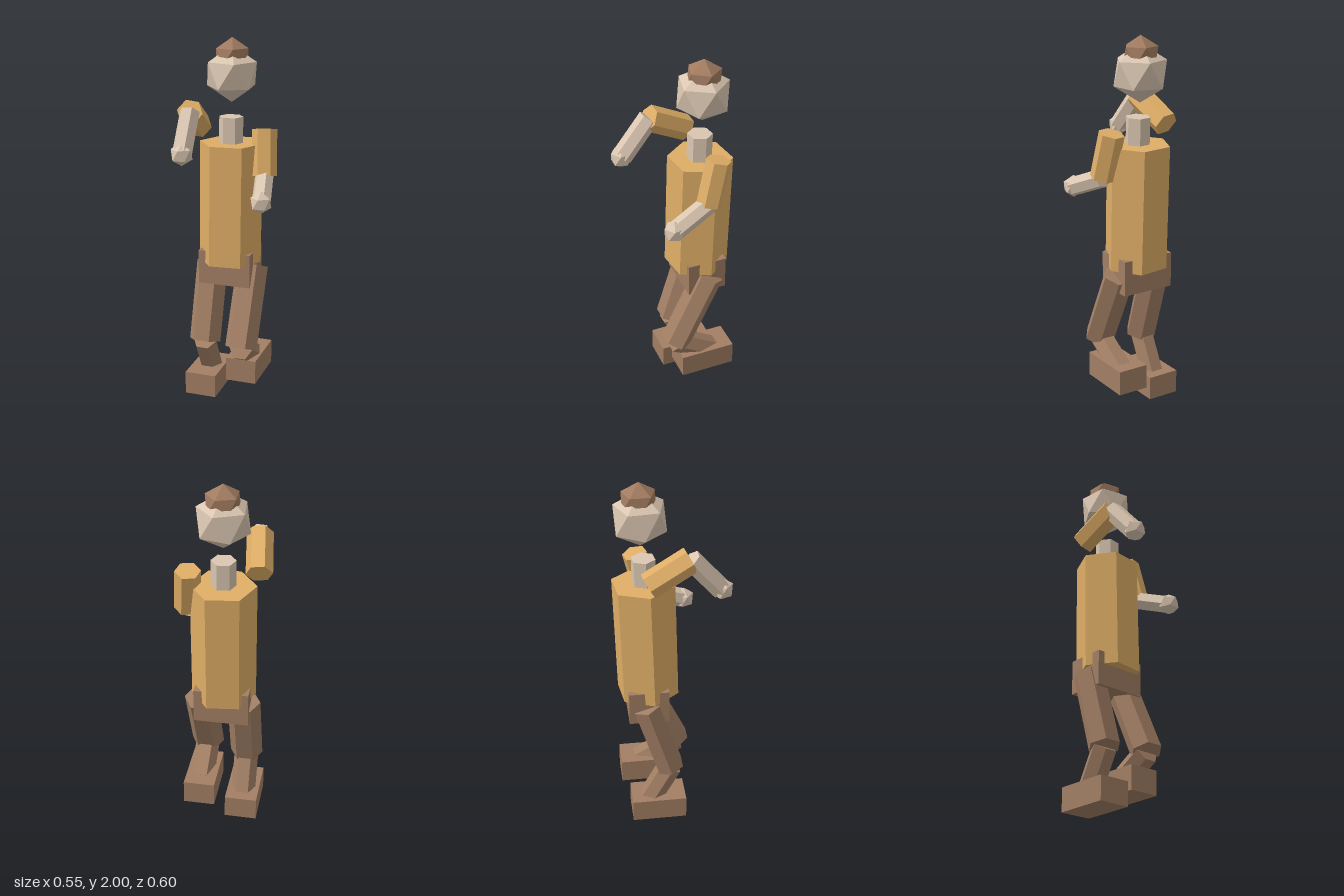
import * as THREE from 'three';

function mat(name, color) {
  const m = new THREE.MeshStandardMaterial({ color, flatShading: true });
  m.name = name;
  return m;
}

export function createModel() {
  const model = new THREE.Group();
  model.name = 'figure';
  const shirt = mat('ochre shirt', 0xdfae66);
  const skin = mat('pale skin', 0xdac6b1);
  const brown = mat('brown trousers', 0xa27f64);
  const hairBrown = mat('brown hair', 0xa17b60);
  const UP = new THREE.Vector3(0, 1, 0);

  function add(name, geometry, material, position) {
    const mesh = new THREE.Mesh(geometry, material);
    mesh.name = name;
    mesh.position.set(...position);
    model.add(mesh);
    return mesh;
  }

  // Six-sided rod from its lower to its upper end; depth flattens it front to back
  function rod(name, material, low, high, radius, spinDeg = 30, depth = 1) {
    const a = new THREE.Vector3(...low), b = new THREE.Vector3(...high);
    const dir = b.clone().sub(a);
    const g = new THREE.CylinderGeometry(radius, radius, dir.length(), 6);
    g.rotateY(THREE.MathUtils.degToRad(spinDeg));
    g.scale(1, 1, depth);
    const mesh = add(name, g, material, a.add(b).multiplyScalar(0.5).toArray());
    mesh.quaternion.setFromUnitVectors(UP, dir.normalize());
  }

  // Icosahedron standing on a corner
  function gem(name, material, center, radius, spin) {
    const g = new THREE.IcosahedronGeometry(radius, 0);
    g.rotateZ(Math.atan(2 / (1 + Math.sqrt(5))));
    g.rotateY(spin);
    add(name, g, material, center);
  }

  // Box given by its lowest and highest corners
  function block(name, material, lo, hi) {
    const size = hi.map((v, i) => v - lo[i]);
    add(name, new THREE.BoxGeometry(...size), material, hi.map((v, i) => (v + lo[i]) / 2));
  }

  // Head and body
  gem('hair', hairBrown, [-0.027, 1.9, -0.161], 0.1, 0.66);
  gem('head', skin, [-0.028, 1.807, -0.156], 0.152, 0.72);
  rod('neck', skin, [-0.026, 1.38, -0.138], [-0.026, 1.58, -0.143], 0.066, -23);
  rod('torso', shirt, [-0.026, 0.77, -0.127], [-0.026, 1.438, -0.145], 0.173, -23);
  block('hips', brown, [-0.176, 0.65, -0.244], [0.12, 0.84, -0.026]);

  // Arms
  rod('leftUpperArm', shirt, [0.172, 1.275, -0.112], [0.153, 1.518, -0.17], 0.068, -15);
  rod('leftForearm', skin, [0.22, 1.19, 0.095], [0.172, 1.275, -0.112], 0.052);
  gem('leftHand', skin, [0.22, 1.19, 0.1], 0.061, 0.3);
  rod('rightUpperArm', shirt, [-0.207, 1.518, -0.138], [-0.178, 1.638, 0.08], 0.07);
  rod('rightForearm', skin, [-0.162, 1.45, 0.24], [-0.178, 1.638, 0.08], 0.055);
  gem('rightHand', skin, [-0.162, 1.452, 0.243], 0.062, 0.3);

  // Legs
  const legs = [
    { side: 'left', x: 0.095, hip: [0.74, -0.155], knee: [0.318, 0.044], ankle: [0.19, -0.17],
      foot: [[0.004, 0.105, -0.281], [0.176, 0.24, 0.03]] },
    { side: 'right', x: -0.138, hip: [0.74, -0.148], knee: [0.31, -0.018], ankle: [0.1, -0.13],
      foot: [[-0.228, 0, -0.24], [-0.05, 0.13, 0.063]] },
  ];
  for (const { side, x, hip, knee, ankle, foot } of legs) {
    rod(side + 'Thigh', brown, [x, ...knee], [x, ...hip], 0.091, 30, 0.88);
    rod(side + 'Shin', brown, [x, ...ankle], [x, ...knee], 0.068);
    block(side + 'Foot', brown, ...foot);
  }
  return model;
}
